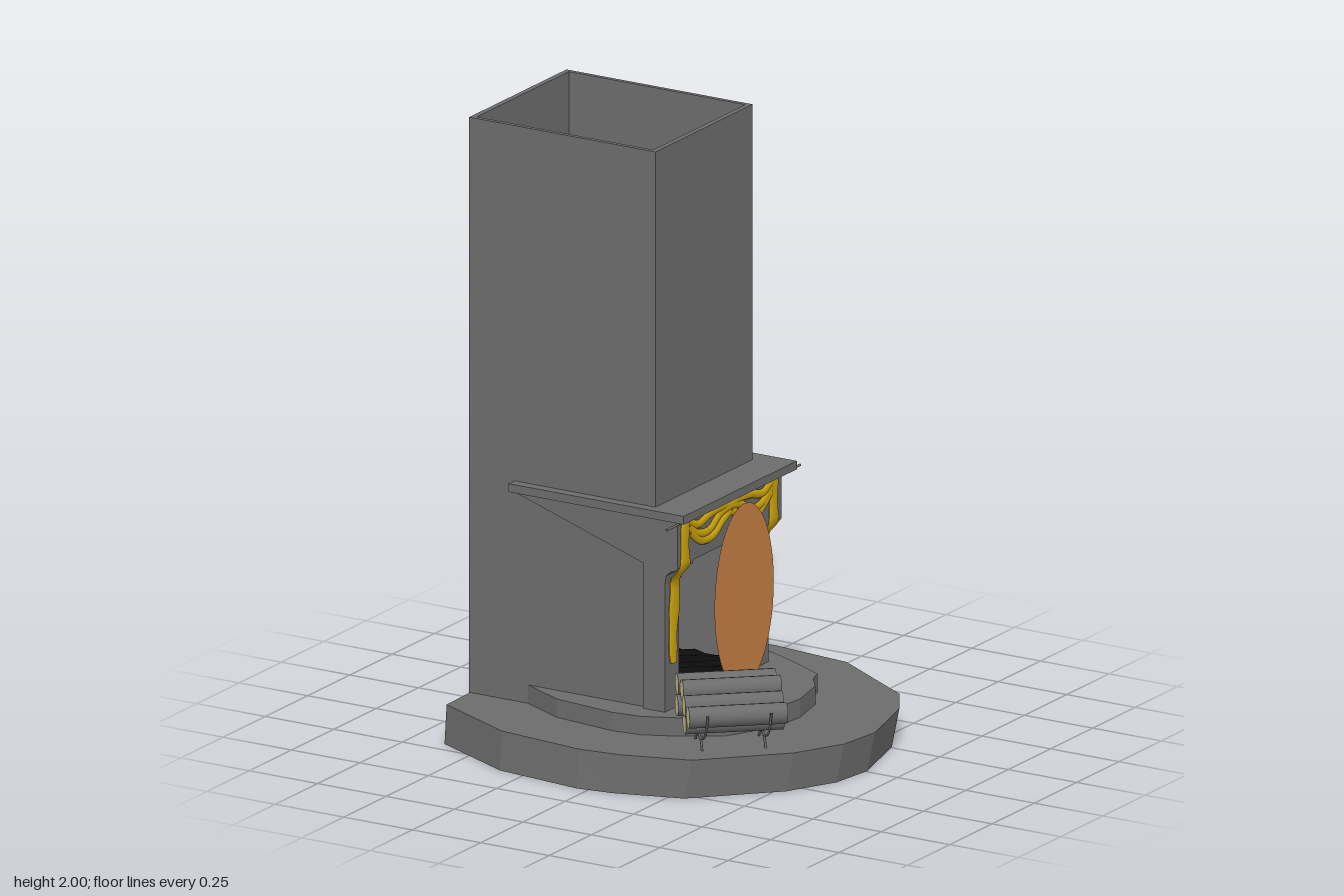
import * as THREE from 'three';

const mat = (name, color, side = THREE.FrontSide) => {
  const m = new THREE.MeshStandardMaterial({ color, side });
  m.name = name;
  return m;
};

export function createModel() {
  const stone = mat('grey stone', 0x6c6c6c);
  const gold = mat('gold cloth', 0xcaa20c);
  const copper = mat('copper screen', 0xc98044, THREE.DoubleSide);
  const cutWood = mat('cut wood', 0xd3c897);
  const soot = mat('soot', 0x0b0b0b);
  const root = new THREE.Group();

  const add = (name, geo, material, parent = root) => {
    const mesh = new THREE.Mesh(geo, material);
    mesh.name = name;
    parent.add(mesh);
    return mesh;
  };
  // Box given by its minimum and maximum on each axis
  const block = (name, x0, x1, y0, y1, z0, z1, material = stone) =>
    add(name, new THREE.BoxGeometry(x1 - x0, y1 - y0, z1 - z0)
      .translate((x0 + x1) / 2, (y0 + y1) / 2, (z0 + z1) / 2), material);
  // Floor outline of [x, z] points raised from y0 to y1
  const plan = (pts) => new THREE.Shape(pts.map(([x, z]) => new THREE.Vector2(x, -z)));
  const raise = (shape, y0, y1) =>
    new THREE.ExtrudeGeometry(shape, { depth: y1 - y0, bevelEnabled: false })
      .rotateX(-Math.PI / 2).translate(0, y0, 0);
  // Side outline of [x, y] points swept from z0 to z1
  const sweep = (pts, z0, z1) =>
    new THREE.ExtrudeGeometry(new THREE.Shape(pts.map(([x, y]) => new THREE.Vector2(x, y))),
      { depth: z1 - z0, bevelEnabled: false }).translate(0, 0, z0);

  // Ground slab, its foot shifted a little
  const slab = raise(plan([[-0.655, -0.47], [-0.47, -0.56], [-0.16, -0.62], [-0.08, -0.62], [0.2, -0.59],
    [0.51, -0.4], [0.59, -0.27], [0.655, -0.02], [0.635, 0.13], [0.55, 0.29], [0.32, 0.52], [0.1, 0.59],
    [-0.04, 0.607], [-0.34, 0.575], [-0.628, 0.435]]), 0, 0.125);
  const sp = slab.attributes.position;
  for (let i = 0; i < sp.count; i++) {
    if (sp.getY(i) < 0.01) {
      sp.setX(i, sp.getX(i) - (sp.getX(i) > 0 ? 0.02 : 0));
      sp.setZ(i, sp.getZ(i) + 0.012);
    }
  }
  slab.computeVertexNormals();
  add('groundSlab', slab, stone);

  // Raised hearth
  add('hearth', raise(plan([[-0.42, -0.34], [-0.32, -0.375], [-0.2, -0.4], [-0.08, -0.41], [0.05, -0.395],
    [0.15, -0.35], [0.285, -0.28], [0.3, -0.23], [0.345, -0.17], [0.375, -0.03], [0.36, 0.1], [0.28, 0.25],
    [0.15, 0.335], [0.05, 0.38], [-0.05, 0.392], [-0.15, 0.38], [-0.27, 0.365], [-0.42, 0.29]]),
  0.12, 0.185), stone);

  // Open chimney shaft
  block('chimneyBack', -0.635, -0.617, 0.12, 2, -0.285, 0.29);
  block('chimneyFront', 0.027, 0.045, 0.82, 2, -0.285, 0.29);
  for (const [z0, z1] of [[-0.285, -0.27], [0.275, 0.29]]) {
    block('chimneySide', -0.617, 0.027, 0.12, 2, z0, z1);
  }

  // Mantel with flue opening
  const mantel = plan([[-0.47, -0.345], [0.17, -0.345], [0.17, 0.325], [-0.47, 0.325]]);
  mantel.holes.push(plan([[-0.4, -0.24], [0.01, -0.24], [0.01, 0.23], [-0.4, 0.23]]));
  add('mantel', raise(mantel, 0.815, 0.842), stone);

  // Surround: frieze, sloping cheeks, jambs and corbels
  block('frieze', 0.027, 0.135, 0.665, 0.816, -0.3, 0.3);
  const corbel = [[0.08, 0.6], [0.09, 0.6], [0.094, 0.63], [0.11, 0.645], [0.133, 0.653], [0.135, 0.668], [0.08, 0.668]];
  for (const s of [-1, 1]) {
    const span = (a, b) => (s > 0 ? [a, b] : [-b, -a]);
    add('cheek', sweep([[-0.47, 0.816], [0.01, 0.66], [0.137, 0.66], [0.137, 0.816]], ...span(0.27, 0.308)), stone);
    block('jamb', 0.01, 0.09, 0.18, 0.67, ...span(0.222, 0.306));
    block('capital', 0.012, 0.096, 0.645, 0.665, ...span(0.165, 0.304));
    add('corbel', sweep(corbel, ...span(0.21, 0.306)), stone);
  }

  // Ash bed with an uneven top
  const ash = new THREE.BoxGeometry(0.46, 0.02, 0.48, 12, 1, 14).toNonIndexed();
  const ap = ash.attributes.position;
  for (let i = 0; i < ap.count; i++) {
    if (ap.getY(i) > 0) ap.setY(i, 0.007 + 0.006 * Math.sin(ap.getX(i) * 61 + ap.getZ(i) * 83));
  }
  ash.computeVertexNormals();
  add('ashBed', ash.translate(-0.18, 0.192, -0.005), soot);

  // Oval fire screen
  const screen = add('fireScreen', new THREE.CircleGeometry(1, 48), copper);
  screen.scale.set(0.175, 0.3, 1);
  screen.rotation.y = Math.PI / 2;
  screen.position.set(0.19, 0.5, 0);

  // Curtain rod
  add('curtainRod', new THREE.CylinderGeometry(0.004, 0.004, 0.79, 8)
    .rotateX(Math.PI / 2).translate(0.146, 0.81, -0.007), stone);

  // Hanging drape tails that follow the corbels
  const drape = (z) => {
    const geo = new THREE.CylinderGeometry(1, 1, 1, 12, 24);
    const p = geo.attributes.position;
    for (let i = 0; i < p.count; i++) {
      const t = 0.5 - p.getY(i);
      const y = 0.818 - t * 0.48;
      const w = 0.01 + 0.018 * Math.pow(Math.sin(Math.PI * Math.min(1, t * 0.85 + 0.1)), 0.7) + 0.003 * Math.sin(t * 22);
      const x = 0.095 + 0.043 * THREE.MathUtils.smoothstep(y, 0.6, 0.665);
      p.setXYZ(i, x + p.getX(i) * 0.008, y, z + p.getZ(i) * w + 0.005 * Math.sin(t * 9));
    }
    geo.computeVertexNormals();
    return geo;
  };
  // Swags as flattened strands of [z, y] points
  const strands = [
    [[0.25, 0.8], [0.19, 0.775], [0.12, 0.79], [0.05, 0.795], [0, 0.79]],
    [[0.25, 0.785], [0.19, 0.745], [0.12, 0.74], [0.06, 0.775], [0, 0.785]],
    [[0.24, 0.765], [0.17, 0.718], [0.1, 0.715], [0.05, 0.745], [0, 0.77]],
  ];
  for (const s of [-1, 1]) {
    add('drapeTail', drape(s * 0.262), gold);
    for (const pts of strands) {
      const path = new THREE.CatmullRomCurve3(pts.map(([z, y]) => new THREE.Vector3(0, y, s * z)));
      add('swag', new THREE.TubeGeometry(path, 24, 0.014, 8).scale(0.55, 1, 1).translate(0.139, 0, 0), gold);
    }
  }

  // Log pile: local x runs along the logs, local z across them
  const pile = new THREE.Group();
  pile.name = 'logPile';
  pile.position.set(0.35, 0, 0.33);
  pile.rotation.y = 0.72;
  root.add(pile);
  const logs = [[-0.115, 0.3, 0], [-0.05, 0.298, 0.005], [0.017, 0.268, 0], [-0.09, 0.238, -0.005],
    [-0.02, 0.2, 0.008], [0.095, 0.255, 0]];
  for (const [z, y, x] of logs) {
    add('log', new THREE.CylinderGeometry(0.034, 0.034, 0.31, 16)
      .rotateZ(Math.PI / 2).translate(x, y, z), [stone, cutWood, cutWood], pile);
  }

  // Wire log holder: two cradles, each on an arched foot
  const wire = (name, x, pts) => add(name, new THREE.TubeGeometry(
    new THREE.CatmullRomCurve3(pts.map(([z, y]) => new THREE.Vector3(x, y, z))), 20, 0.004, 6), stone, pile);
  for (const x of [-0.1, 0.1]) {
    wire('cradle', x, [[-0.155, 0.28], [-0.13, 0.2], [-0.06, 0.16], [0.03, 0.163], [0.1, 0.2], [0.145, 0.275]]);
    wire('cradleFoot', x, [[-0.095, 0.122], [-0.07, 0.152], [-0.03, 0.162], [0.01, 0.152], [0.035, 0.122]]);
  }
  return root;
}
